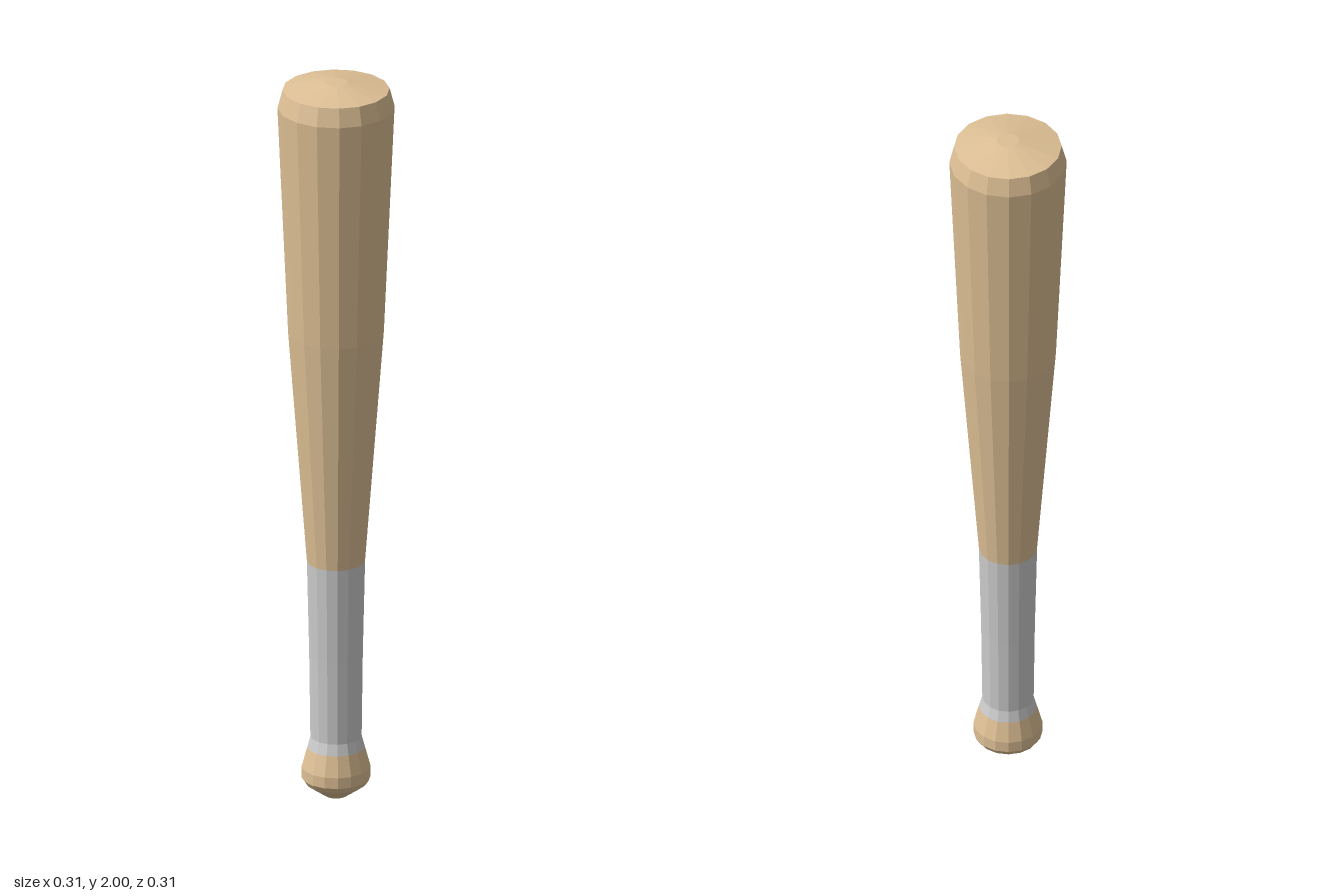
import * as THREE from 'three';

const SIDES = 16;

export function createModel() {
  const wood = new THREE.MeshStandardMaterial({ color: 0xdec095, flatShading: true });
  wood.name = 'wood';
  const gripTape = new THREE.MeshStandardMaterial({ color: 0xcccccc, flatShading: true });
  gripTape.name = 'gripTape';

  const bat = new THREE.Group();
  bat.name = 'bat';

  // Turns a [radius, height] profile, listed bottom to top, around the y axis
  const turn = (name, material, profile) => {
    const points = profile.map(([r, y]) => new THREE.Vector2(r, y));
    const mesh = new THREE.Mesh(new THREE.LatheGeometry(points, SIDES), material);
    mesh.name = name;
    bat.add(mesh);
  };

  // Rounded knob at the foot of the handle
  turn('knob', wood, [
    [0, 0], [0.03, 0.005], [0.08, 0.04], [0.09, 0.055], [0.09, 0.085], [0.075, 0.14],
  ]);

  // Wrapped handle
  turn('grip', gripTape, [[0.075, 0.14], [0.067, 0.17], [0.07, 0.4], [0.076, 0.66]]);

  // Tapered barrel with bevelled rim and shallow domed end
  turn('barrel', wood, [
    [0.076, 0.66], [0.125, 1.3], [0.153, 1.93], [0.14, 1.98], [0.03, 2], [0, 2],
  ]);

  return bat;
}
